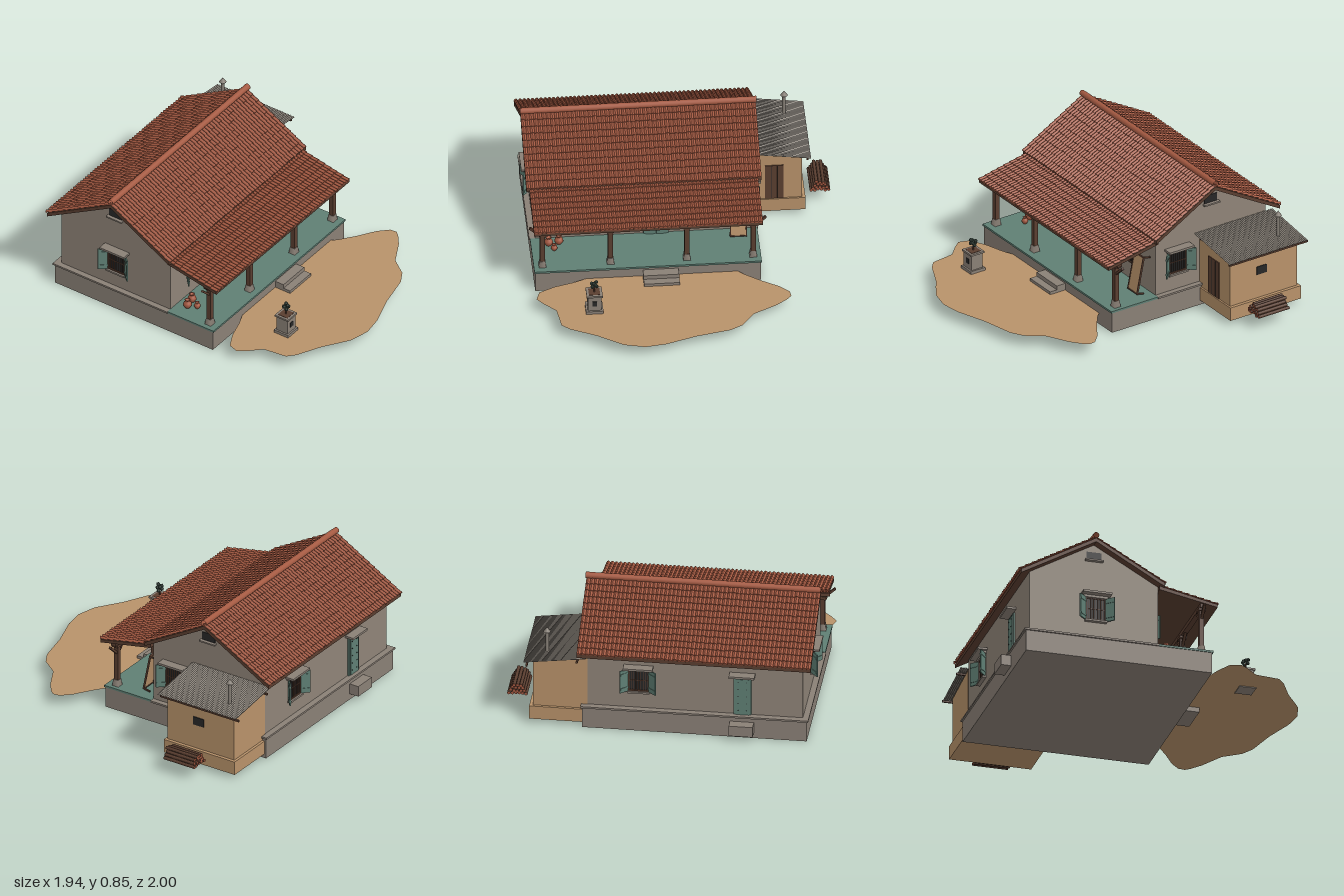
import * as THREE from 'three';
import { mergeGeometries } from 'three/addons/utils/BufferGeometryUtils.js';

const mat = (name, color, side = THREE.FrontSide) => {
  const m = new THREE.MeshStandardMaterial({ color, side });
  m.name = name;
  return m;
};

export function createModel() {
  const plaster = mat('grey plaster', 0x8f8478);
  const stone = mat('stone', 0x8a8076);
  const clay = mat('terracotta', 0xa55a42, THREE.DoubleSide);
  const wood = mat('dark wood', 0x5a3e30);
  const teal = mat('teal paint', 0x5f7f74);
  const mud = mat('tan mud', 0xb8926a, THREE.DoubleSide);
  const dark = mat('near black', 0x272727);
  const metal = mat('sheet metal', 0x857e75, THREE.DoubleSide);
  const leaf = mat('dark leaf', 0x3d4d44, THREE.DoubleSide);

  const root = new THREE.Group();
  const add = (parent, name, geo, m, x = 0, y = 0, z = 0) => {
    const mesh = new THREE.Mesh(geo, m);
    mesh.name = name;
    mesh.position.set(x, y, z);
    parent.add(mesh);
    return mesh;
  };
  const group = (name, x = 0, y = 0, z = 0, ry = 0, parent = root) => {
    const g = new THREE.Group();
    g.name = name;
    g.position.set(x, y, z);
    g.rotation.y = ry;
    parent.add(g);
    return g;
  };
  const box = (p, name, m, w, h, d, x, y, z) => add(p, name, new THREE.BoxGeometry(w, h, d), m, x, y, z);
  // box given by its limits
  const span = (p, name, m, x0, x1, y0, y1, z0, z1) =>
    box(p, name, m, x1 - x0, y1 - y0, z1 - z0, (x0 + x1) / 2, (y0 + y1) / 2, (z0 + z1) / 2);
  const shape = pts => new THREE.Shape(pts.map(p => new THREE.Vector2(...p)));
  const extrude = (pts, depth) => new THREE.ExtrudeGeometry(shape(pts), { depth, bevelEnabled: false });
  // (z, y) outline swept along x
  const sweepX = (pts, x0, x1) => extrude(pts, x1 - x0).rotateY(-Math.PI / 2).translate(x1, 0, 0);

  // plinth, ledge and veranda floor
  span(root, 'plinth', stone, -0.935, 0.47, 0, 0.14, -0.935, 0.267);
  span(root, 'plinthLedge', stone, -0.945, 0.48, 0.138, 0.15, -0.945, -0.075);
  span(root, 'verandaFloor', teal, -0.94, 0.475, 0.138, 0.151, -0.075, 0.275);
  span(root, 'lowerStep', stone, -0.266, -0.044, 0.045, 0.095, 0.26, 0.38);
  span(root, 'upperStep', stone, -0.266, -0.044, 0.045, 0.122, 0.26, 0.33);
  span(root, 'backStep', stone, -0.605, -0.455, 0.04, 0.11, -1, -0.93);

  // gabled house body
  add(root, 'houseWalls', sweepX([[-0.905, 0.14], [-0.075, 0.14], [-0.075, 0.56], [-0.49, 0.798], [-0.905, 0.56]], -0.908, 0.445), plaster);

  // roof boards
  add(root, 'mainRoofBoards', sweepX([[-0.49, 0.812], [-0.975, 0.538], [-0.975, 0.513], [-0.49, 0.787], [-0.045, 0.536], [-0.045, 0.561]], -0.965, 0.5), wood);
  add(root, 'verandaRoofBoards', sweepX([[-0.075, 0.546], [-0.075, 0.522], [0.3, 0.448], [0.3, 0.468]], -0.945, 0.48), wood);

  // overlapping courses of half-round tiles, from top edge (z0,y0) down to (z1,y1)
  let seed = 7;
  const rand = () => (seed = (seed * 16807) % 2147483647) / 2147483647;
  const tiles = (name, x0, x1, z0, y0, z1, y1, courses) => {
    const cols = Math.round((x1 - x0) / 0.026), seg = 6;
    const len = Math.hypot(z1 - z0, y1 - y0);
    const dz = (z1 - z0) / len, dy = (y1 - y0) / len;
    const nz = -dy * Math.sign(dz), ny = Math.abs(dz);
    const parts = [];
    for (let c = 0; c < courses; c++) {
      const g = new THREE.PlaneGeometry(1, 1, cols * seg, 2);
      const p = g.attributes.position;
      const jitter = Array.from({ length: cols + 1 }, () => (rand() - 0.5) * 0.006);
      for (let i = 0; i < p.count; i++) {
        const k = i % (cols * seg + 1), row = Math.floor(i / (cols * seg + 1));
        const arch = 0.011 * Math.abs(Math.sin(Math.PI * k / seg));
        const s = len * (c + (row ? 1 : 0)) / courses + (row ? 0.004 + jitter[Math.floor(k / seg)] : 0);
        const h = row === 0 ? arch : row === 1 ? arch + 0.007 : 0;
        p.setXYZ(i, x0 + (x1 - x0) * k / (cols * seg), y0 + dy * s + ny * h, z0 + dz * s + nz * h);
      }
      // keep faces pointing outward on the back slope
      if (dz < 0) {
        const a = g.index.array;
        for (let i = 0; i < a.length; i += 3) [a[i], a[i + 1]] = [a[i + 1], a[i]];
      }
      parts.push(g.toNonIndexed());
    }
    const all = mergeGeometries(parts);
    all.computeVertexNormals();
    add(root, name, all, clay);
  };
  tiles('frontRoofTiles', -0.965, 0.5, -0.49, 0.813, -0.045, 0.562, 11);
  tiles('backRoofTiles', -0.965, 0.5, -0.49, 0.813, -0.975, 0.539, 12);
  tiles('verandaRoofTiles', -0.945, 0.48, -0.075, 0.547, 0.3, 0.469, 8);
  for (let i = 0; i < 18; i++) {
    const g = new THREE.CylinderGeometry(0.019, 0.021, 0.086, 12, 1, true).rotateZ(Math.PI / 2);
    add(root, 'ridgeTile', g, clay, -0.924 + i * 0.0815, 0.832, -0.49);
  }

  // veranda posts with stone feet and braces
  box(root, 'verandaBeam', wood, 1.4, 0.03, 0.035, -0.23, 0.458, 0.21);
  for (const x of [-0.886, -0.4625, 0.013, 0.426]) {
    const g = group('verandaPost', x, 0, 0.21);
    add(g, 'postFoot', new THREE.CylinderGeometry(0.025, 0.033, 0.045, 4, 1).rotateY(Math.PI / 4), stone, 0, 0.172, 0);
    box(g, 'postShaft', wood, 0.031, 0.26, 0.031, 0, 0.32, 0);
    box(g, 'postCapital', wood, 0.065, 0.018, 0.045, 0, 0.438, 0);
    for (const s of [-1, 1])
      box(g, 'postBrace', wood, 0.1, 0.014, 0.018, s * 0.042, 0.413, 0).rotation.z = s * 0.75;
  }

  // barred window with open shutters; local +z is outward
  const window_ = (name, x, z, ry, hood) => {
    const g = group(name, x, 0.346, z, ry);
    box(g, 'windowOpening', dark, 0.12, 0.14, 0.006, 0, 0, 0.002);
    for (const s of [-1, 1]) {
      box(g, 'windowJamb', wood, 0.008, 0.15, 0.014, s * 0.06, 0, 0.005);
      box(g, 'windowRail', wood, 0.128, 0.008, 0.014, 0, s * 0.072, 0.005);
      const hinge = group('shutter', s * 0.063, 0, 0.006, -s * 0.73, g);
      box(hinge, 'shutterLeaf', teal, 0.066, 0.156, 0.008, s * 0.033, 0, 0);
      for (const y of [-0.05, 0.05]) box(hinge, 'shutterBatten', teal, 0.058, 0.012, 0.014, s * 0.033, y, 0);
    }
    for (let i = -3; i <= 3; i++)
      add(g, 'windowBar', new THREE.CylinderGeometry(0.0025, 0.0025, 0.14, 6), wood, i * 0.015, 0, 0.009);
    box(g, 'windowCrossBar', wood, 0.12, 0.004, 0.004, 0, 0, 0.009);
    if (hood) {
      box(g, 'windowHood', stone, 0.185, 0.014, 0.06, 0, 0.097, 0.03);
      box(g, 'windowLintel', stone, 0.16, 0.018, 0.02, 0, 0.083, 0.01);
      box(g, 'windowSill', stone, 0.14, 0.012, 0.025, 0, -0.082, 0.012);
    }
  };
  window_('frontWindowRight', -0.668, -0.075, 0, false);
  window_('frontWindowLeft', 0.208, -0.075, 0, false);
  window_('leftWindow', 0.445, -0.238, Math.PI / 2, true);
  window_('rightWindow', -0.908, -0.48, -Math.PI / 2, true);
  window_('backWindow', 0.12, -0.905, Math.PI, true);

  // plank doors with studs
  const door = (name, x, z, ry, w, h, leaves, m) => {
    const g = group(name, x, 0.15, z, ry);
    box(g, 'doorFrame', m, w, h, 0.012, 0, h / 2, 0.004);
    const lw = (w - 0.02) / leaves;
    for (let l = 0; l < leaves; l++) {
      const cx = (l - (leaves - 1) / 2) * lw;
      box(g, 'doorLeaf', m, lw - 0.005, h - 0.015, 0.016, cx, h / 2 - 0.006, 0.008);
      for (let r = 0; r < 5; r++) for (const s of [-1, 1])
        box(g, 'doorStud', dark, 0.005, 0.005, 0.004, cx + s * lw * 0.28, h * (0.12 + r * 0.19), 0.017);
    }
    return g;
  };
  door('frontDoor', -0.157, -0.075, 0, 0.155, 0.298, 2, teal);
  const back = door('backDoor', -0.53, -0.905, Math.PI, 0.11, 0.265, 1, teal);
  box(back, 'doorHood', stone, 0.16, 0.014, 0.06, 0, 0.285, 0.03);
  box(root, 'wallPlaque', dark, 0.062, 0.03, 0.008, -0.287, 0.345, -0.073);
  box(root, 'meterBox', stone, 0.04, 0.04, 0.02, -0.008, 0.37, -0.066);

  // gable vents
  for (const [x, s] of [[0.445, 1], [-0.908, -1]]) {
    box(root, 'gableVent', dark, 0.008, 0.055, 0.095, x, 0.708, -0.49);
    box(root, 'ventSill', stone, 0.03, 0.01, 0.115, x + s * 0.01, 0.677, -0.49);
  }

  // mud lean-to
  span(root, 'annexBase', mud, 0.46, 0.803, 0.03, 0.12, -0.925, -0.395);
  add(root, 'annexWalls', extrude([[0.44, 0.1], [0.782, 0.1], [0.782, 0.438], [0.44, 0.483]], 0.502).translate(0, 0, -0.908), mud);
  const rows = 48;
  const sheet = new THREE.PlaneGeometry(1, 1, 1, rows * 4).rotateX(-Math.PI / 2);
  const sp = sheet.attributes.position;
  for (let i = 0; i < sp.count; i++) {
    const u = sp.getX(i) + 0.5, v = sp.getZ(i) + 0.5;
    sp.setXYZ(i, 0.445 + u * 0.39, 0.496 - u * 0.052 + 0.004 * Math.sin(v * rows * Math.PI * 2), -0.955 + v * 0.588);
  }
  sheet.computeVertexNormals();
  add(root, 'annexRoofSheet', sheet, metal);
  for (const [x, y] of [[0.5, 0.475], [0.815, 0.428]])
    box(root, 'annexPurlin', wood, 0.012, 0.012, 0.59, x, y, -0.672);
  span(root, 'annexDoor', wood, 0.55, 0.665, 0.122, 0.375, -0.415, -0.4);
  for (const x of [0.587, 0.627]) span(root, 'annexDoorGroove', dark, x, x + 0.003, 0.125, 0.37, -0.402, -0.398);
  box(root, 'annexWindow', dark, 0.008, 0.055, 0.076, 0.783, 0.31, -0.642);
  add(root, 'chimneyPipe', new THREE.CylinderGeometry(0.011, 0.011, 0.17, 12), metal, 0.704, 0.52, -0.822);
  add(root, 'chimneyCap', new THREE.ConeGeometry(0.023, 0.032, 12), metal, 0.704, 0.617, -0.822);

  // firewood stack with cut ends
  for (let r = 0; r < 4; r++) for (let i = 0; i < 6 - r; i++) {
    const log = new THREE.CylinderGeometry(0.0105, 0.0105, 0.21 + 0.025 * rand(), 8).rotateX(Math.PI / 2);
    add(root, 'firewoodLog', log, [wood, clay, clay], 0.848 + (i + r / 2) * 0.0215, 0.092 + r * 0.0185, -0.615 + (rand() - 0.5) * 0.012);
  }

  // cot leaning against the front wall
  const cot = group('leaningCot', 0.35, 0.29, 0.005);
  cot.rotation.x = -0.2;
  box(cot, 'cotWebbing', mud, 0.094, 0.24, 0.006, 0, 0, 0);
  for (const s of [-1, 1]) {
    box(cot, 'cotSideRail', wood, 0.007, 0.25, 0.012, s * 0.049, 0, 0);
    box(cot, 'cotEndRail', wood, 0.1, 0.007, 0.012, 0, s * 0.122, 0);
    for (const t of [-1, 1]) box(cot, 'cotLeg', wood, 0.009, 0.009, 0.055, s * 0.049, t * 0.122, -0.022);
  }

  // clay pots
  const potProfile = [[0, 0], [0.6, 0.08], [1, 0.8], [0.85, 1.35], [0.45, 1.7], [0.45, 1.9], [0.65, 2.1], [0.4, 2.05], [0, 1.7]].map(p => new THREE.Vector2(...p));
  for (const [x, z, r] of [[-0.83, 0, 0.028], [-0.765, -0.012, 0.028], [-0.8, 0.053, 0.021]])
    add(root, 'clayPot', new THREE.LatheGeometry(potProfile, 16), clay, x, 0.15, z).scale.setScalar(r);

  // courtyard planter
  const planter = group('planter', -0.595, 0, 0.582);
  box(planter, 'planterBase', stone, 0.108, 0.025, 0.108, 0, 0.083, 0);
  box(planter, 'planterBody', stone, 0.085, 0.11, 0.085, 0, 0.15, 0);
  box(planter, 'planterRim', stone, 0.1, 0.012, 0.1, 0, 0.203, 0);
  box(planter, 'planterSoil', wood, 0.07, 0.004, 0.07, 0, 0.209, 0);
  box(planter, 'planterNiche', dark, 0.03, 0.035, 0.006, 0, 0.147, 0.042);
  add(planter, 'plantStem', new THREE.CylinderGeometry(0.004, 0.005, 0.05, 6), wood, 0, 0.232, 0);
  for (let i = 0; i < 7; i++)
    add(planter, 'plantLeaves', new THREE.IcosahedronGeometry(0.013, 0), leaf, 0.016 * Math.cos(i * 2.4), 0.25 + i * 0.0055, 0.016 * Math.sin(i * 2.4));

  // bare earth yard
  const yard = [[-0.6, 0.26], [-0.7, 0.3], [-0.82, 0.335], [-0.92, 0.385], [-0.943, 0.455], [-0.9, 0.51], [-0.83, 0.58], [-0.817, 0.68],
    [-0.81, 0.735], [-0.76, 0.78], [-0.6, 0.86], [-0.52, 0.915], [-0.44, 0.968], [-0.31, 1], [-0.18, 0.982], [0.02, 0.915], [0.23, 0.87],
    [0.31, 0.825], [0.39, 0.715], [0.54, 0.635], [0.61, 0.58], [0.635, 0.55], [0.63, 0.505], [0.57, 0.445], [0.46, 0.375], [0.36, 0.3], [0.32, 0.26]];
  add(root, 'yardGround', new THREE.ShapeGeometry(shape(yard)).rotateX(Math.PI / 2), mud, 0, 0.076, 0);

  return root;
}
